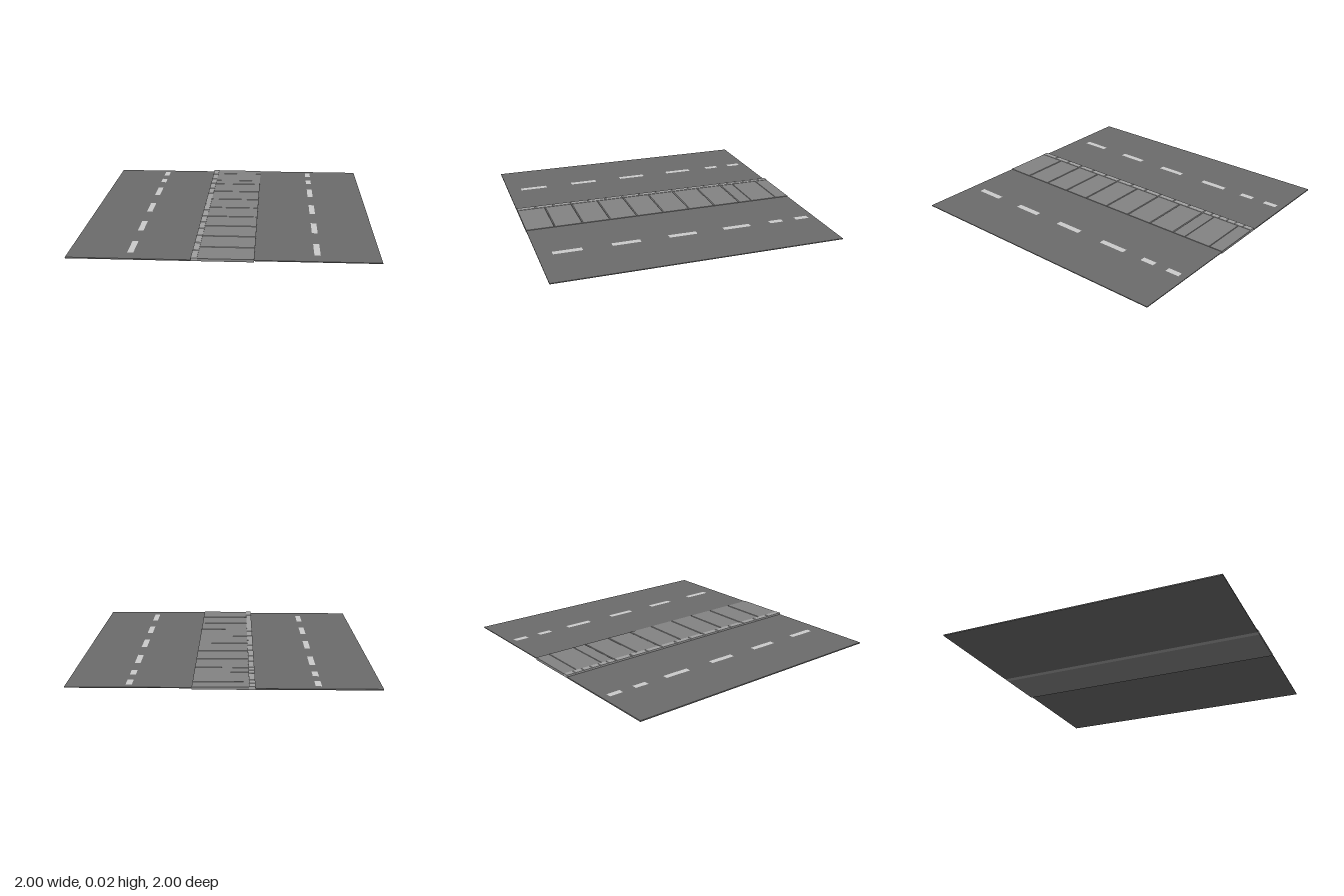
import * as THREE from 'three';

const mat = (color) => new THREE.MeshStandardMaterial({ color });
const asphalt = mat(0x6b6b6b), paving = mat(0x838383), kerb = mat(0xa0a0a0), paint = mat(0xcccccc);

// Slab running along z from x0 to x1, with V-shaped joints cut into its top
function jointedStrip(name, x0, x1, top, depth, joints, material) {
  const s = new THREE.Shape();
  s.moveTo(-1, 0);
  s.lineTo(1, 0);
  s.lineTo(1, top);
  for (const z of [...joints].sort((a, b) => b - a)) {
    const half = z < -0.61 ? 0.003 : 0.005;
    s.lineTo(z + half, top);
    s.lineTo(z, top - depth);
    s.lineTo(z - half, top);
  }
  s.lineTo(-1, top);
  const geo = new THREE.ExtrudeGeometry(s, { depth: x1 - x0, bevelEnabled: false });
  geo.rotateY(-Math.PI / 2).translate(x1, 0, 0);
  const mesh = new THREE.Mesh(geo, material);
  mesh.name = name;
  return mesh;
}

// Carriageway slab with a dashed line down its middle
function carriageway(name, side, bottom, top) {
  const group = new THREE.Group();
  group.name = name;
  const slab = new THREE.Mesh(new THREE.BoxGeometry(0.8, top - bottom, 2), asphalt);
  slab.position.set(side * 0.6, (top + bottom) / 2, 0);
  slab.name = 'roadSurface';
  group.add(slab);
  // Short dashes at the back, full-length ones elsewhere: [centre, length]
  const dashes = [[-0.9, 0.1], [-0.7, 0.1], [-0.4, 0.2], [0, 0.2], [0.4, 0.2], [0.8, 0.2]];
  for (const [z, length] of dashes) {
    const dash = new THREE.Mesh(new THREE.PlaneGeometry(0.04, length).rotateX(-Math.PI / 2), paint);
    dash.position.set(side * 0.6, top + 0.0006, z);
    dash.name = 'laneDash';
    group.add(dash);
  }
  return group;
}

export function createModel() {
  const model = new THREE.Group();
  model.name = 'roadSection';

  model.add(carriageway('rightCarriageway', -1, 0, 0.008));
  model.add(carriageway('leftCarriageway', 1, 0.008, 0.014));

  // Pavement slabs: closer joints in the shortened back stretch
  const slabJoints = [-0.9, -0.7];
  for (let i = 0; i < 8; i++) slabJoints.push(-0.6 + i * 0.2);
  model.add(jointedStrip('pavement', -0.16, 0.2, 0.018, 0.006, slabJoints, paving));

  // Kerb stones along the pavement edge
  const kerbJoints = [];
  for (let i = 1; i < 6; i++) kerbJoints.push(-1 + i * 0.4 / 6);
  for (let i = 0; i < 12; i++) kerbJoints.push(-0.6 + i * 0.4 / 3);
  model.add(jointedStrip('kerb', -0.2, -0.16, 0.021, 0.006, kerbJoints, kerb));

  return model;
}
